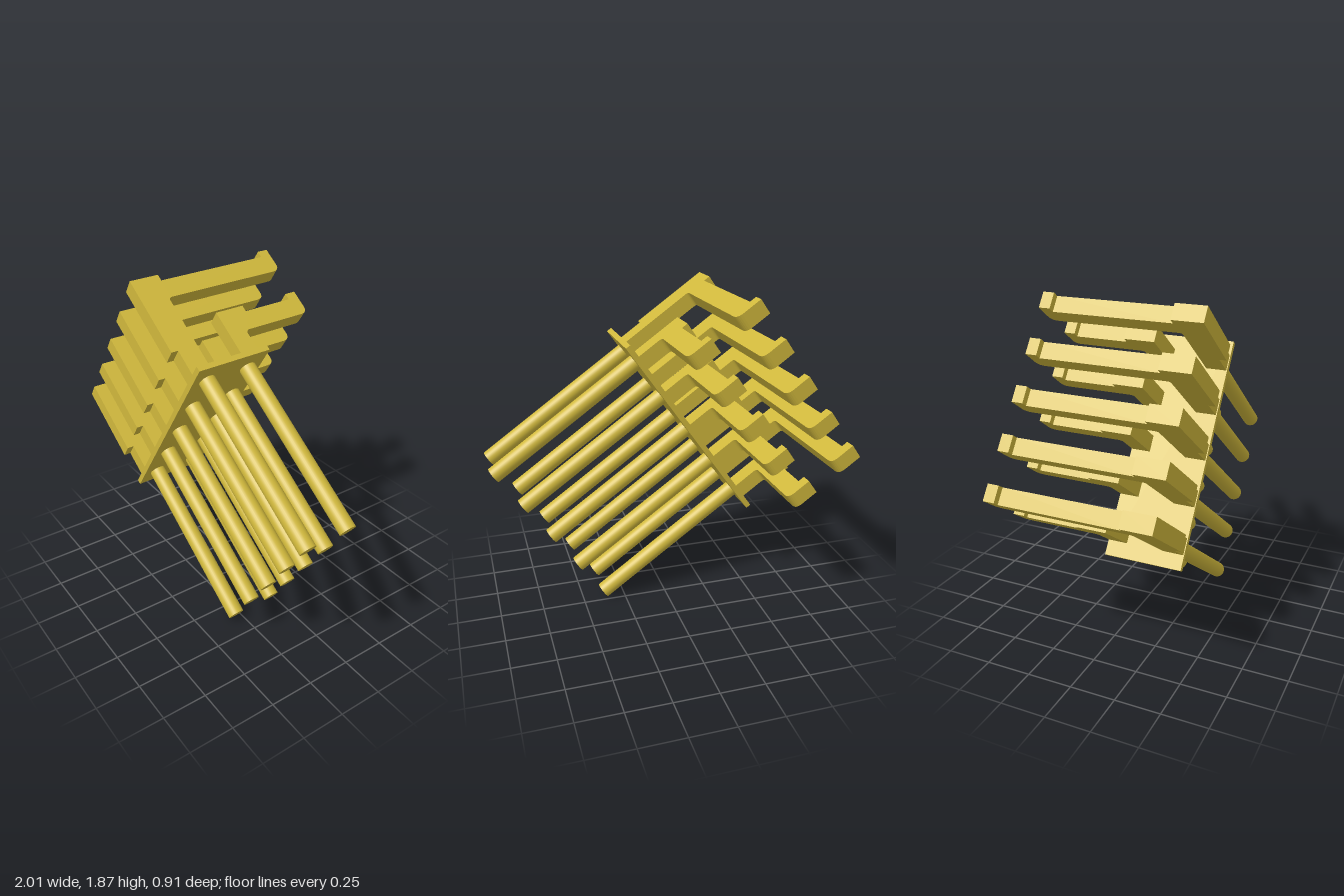
import * as THREE from 'three';

// Outline from [u, z, cornerRadius] points; corners with a radius are rounded.
function roundedShape(points) {
  const shape = new THREE.Shape();
  const pts = points.map(([u, z, r = 0]) => ({ p: new THREE.Vector2(u, -z), r }));
  pts.forEach(({ p, r }, i) => {
    const prev = pts[(i + pts.length - 1) % pts.length].p;
    const next = pts[(i + 1) % pts.length].p;
    const a = p.clone().add(prev.clone().sub(p).setLength(r));
    const b = p.clone().add(next.clone().sub(p).setLength(r));
    if (i === 0) shape.moveTo(a.x, a.y);
    else shape.lineTo(a.x, a.y);
    if (r > 0) shape.quadraticCurveTo(p.x, p.y, b.x, b.y);
  });
  shape.closePath();
  return shape;
}

// Flat blade cut from the outline, centred on its row height.
function bladeGeometry(points, thickness) {
  const g = new THREE.ExtrudeGeometry(roundedShape(points), {
    depth: thickness, bevelEnabled: false, curveSegments: 6,
  });
  g.rotateX(-Math.PI / 2);
  g.translate(0, -thickness / 2, 0);
  return g;
}

export function createModel() {
  const root = new THREE.Group();
  root.name = 'pinHeader';
  const brass = new THREE.MeshStandardMaterial({ color: 0xd0b83c });
  brass.name = 'brass';

  // Everything is built square to the plate, then tilted as one body.
  const body = new THREE.Group();
  body.name = 'tiltedBody';
  body.position.set(-0.157, 1.045, 0);
  body.rotation.set(0, 0.02, THREE.MathUtils.degToRad(-35), 'ZYX');
  root.add(body);

  const add = (name, geometry, x, y, z) => {
    const mesh = new THREE.Mesh(geometry, brass);
    mesh.name = name;
    mesh.position.set(x, y, z);
    body.add(mesh);
  };

  // Base plate
  add('plate', new THREE.BoxGeometry(0.03, 1.285, 0.435), 0, 0, 0.1875);

  // Long outer hook and short inner hook
  const outerHook = bladeGeometry([
    [0, 0.285], [0, 0.4], [-0.17, 0.4], [-0.17, 0.44], [-0.637, 0.44],
    [-0.637, 0.27], [-0.598, 0.27], [-0.598, -0.395], [-0.637, -0.395],
    [-0.637, -0.458], [-0.485, -0.458, 0.045], [-0.485, 0.285, 0.02],
  ], 0.09);
  const innerHook = bladeGeometry([
    [0, -0.028], [0, 0.078], [-0.324, 0.078], [-0.324, -0.095],
    [-0.286, -0.095], [-0.286, -0.395], [-0.324, -0.395],
    [-0.324, -0.458], [-0.175, -0.458, 0.045], [-0.175, -0.028, 0.025],
  ], 0.09);

  // Round pin running away from the plate
  const pinLength = 1.012;
  const pin = new THREE.CylinderGeometry(0.046, 0.046, pinLength, 32);
  pin.rotateZ(-Math.PI / 2);

  // Five rows, each with two pins and two hooks
  for (let row = -2; row <= 2; row++) {
    const y = row * 0.2577;
    add('outerHook', outerHook, 0, y, 0);
    add('innerHook', innerHook, 0, y, 0);
    add('outerPin', pin, pinLength / 2, y, 0.315);
    add('innerPin', pin, pinLength / 2, y, 0.06);
  }
  return root;
}
